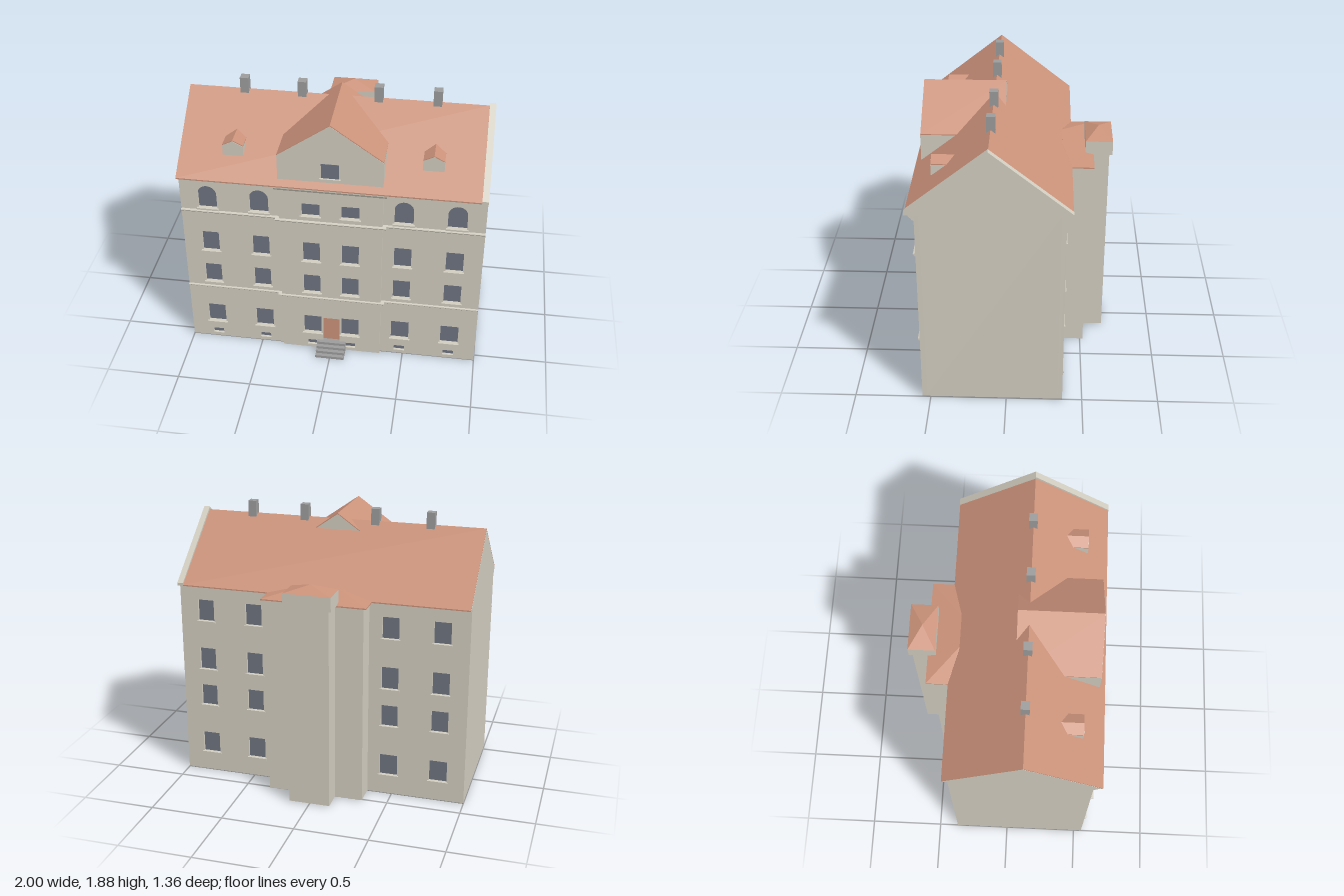
import * as THREE from 'three';
import { ConvexGeometry } from 'three/addons/geometries/ConvexGeometry.js';

const mat = (name, color) => Object.assign(new THREE.MeshStandardMaterial({ color }), { name });

export function createModel() {
  const plaster = mat('plaster', 0xd2cdc0);
  const tile = mat('roof tile', 0xcb927a);
  const glass = mat('window glass', 0x6e7480);
  const stone = mat('grey stone', 0x9c9c9c);

  const model = new THREE.Group();
  model.name = 'townHouse';

  const add = (name, geo, material, parent = model) => {
    const m = new THREE.Mesh(geo, material);
    m.name = name;
    parent.add(m);
    return m;
  };
  // Box given by its limits
  const box = (name, x0, x1, y0, y1, z0, z1, material, parent) =>
    add(name, new THREE.BoxGeometry(x1 - x0, y1 - y0, z1 - z0)
      .translate((x0 + x1) / 2, (y0 + y1) / 2, (z0 + z1) / 2), material, parent);
  const shapeOf = pts => new THREE.Shape(pts.map(p => new THREE.Vector2(...p)));
  const extrude = (shape, depth) =>
    new THREE.ExtrudeGeometry(shape, { depth, bevelEnabled: false, curveSegments: 10 });
  // Profile in (z, y) drawn out along x
  const alongX = (name, pts, x0, x1, material) =>
    add(name, extrude(shapeOf(pts), x1 - x0).rotateY(-Math.PI / 2).translate(x1, 0, 0), material);
  // Profile in (x, y) drawn out along z
  const alongZ = (name, pts, z0, z1, material, parent) =>
    add(name, extrude(shapeOf(pts), z1 - z0).translate(0, 0, z0), material, parent);

  // Outline of a window or door opening, with an optional round head
  const outline = (o, Type) => {
    const s = new Type(), r = o.w / 2, top = o.y + o.h;
    s.moveTo(o.x - r, o.y);
    s.lineTo(o.x + r, o.y);
    if (o.arch) {
      s.lineTo(o.x + r, top - r);
      s.absarc(o.x, top - r, r, 0, Math.PI, false);
    } else {
      s.lineTo(o.x + r, top);
      s.lineTo(o.x - r, top);
    }
    s.lineTo(o.x - r, o.y);
    return s;
  };

  // Wall panel with recessed openings and sills, facing +z
  const wall = (name, x0, x1, zBack, zFace, openings, sillOut) => {
    const g = new THREE.Group();
    g.name = name;
    const s = shapeOf([[x0, 0.005], [x1, 0.005], [x1, 1.39], [x0, 1.39]]);
    openings.forEach(o => s.holes.push(outline(o, THREE.Path)));
    add('wallPanel', extrude(s, zFace - zBack).translate(0, 0, zBack), plaster, g);
    for (const o of openings) {
      add(o.door ? 'door' : 'windowPane',
        extrude(outline(o, THREE.Shape), 0.004).translate(0, 0, zFace - 0.022), o.door ? tile : glass, g);
      if (o.sill) {
        box('windowSill', o.x - o.w / 2 - 0.01, o.x + o.w / 2 + 0.01, o.y - 0.008, o.y + 0.004,
          zFace - 0.02, zFace + sillOut, plaster, g);
      }
    }
    model.add(g);
    return g;
  };

  // Rows of openings: ground, first and second floor
  const floors = x => [
    { x, y: 0.14, w: 0.123, h: 0.155, sill: true },
    { x, y: 0.505, w: 0.115, h: 0.155, sill: true },
    { x, y: 0.775, w: 0.115, h: 0.16, sill: true }];
  const cellar = x => ({ x, y: 0.03, w: 0.075, h: 0.042 });

  // Core of the house and ground plate
  box('core', -1, 1, 0.005, 1.39, -0.34, 0.525, plaster);
  box('groundPlate', -1, 1, 0, 0.005, -0.37, 0.555, stone);

  for (const side of [-1, 1]) {
    // Front wings with arched top windows
    const front = [0.475, 0.818].map(c => c * side).flatMap(x => [
      cellar(x), ...floors(x), { x, y: 1.13, w: 0.125, h: 0.175, arch: true, sill: true }]);
    wall('frontWing', Math.min(side, side * 0.34), Math.max(side, side * 0.34), 0.525, 0.555, front, 0.015);
    // Rear wings with plain windows
    const rear = [0.475, 0.818].map(c => c * side).flatMap(x => [
      ...floors(x), { x, y: 1.13, w: 0.115, h: 0.155, sill: true }]);
    wall('rearWing', Math.min(side, side * 0.33), Math.max(side, side * 0.33), 0.34, 0.37, rear, 0.01)
      .rotation.y = Math.PI;
  }

  // Projecting centre of the front with the door
  const centre = [-0.13, 0.13].flatMap(x => [
    cellar(x), ...floors(x), { x, y: 1.15, w: 0.12, h: 0.1, sill: true }]);
  centre.push({ x: 0, y: 0.08, w: 0.115, h: 0.205, door: true });
  // The door sits between the ground floor windows
  wall('frontCentre', -0.34, 0.34, 0.525, 0.58, centre, 0.015);

  // Cornices, stepping forward over the centre
  const cornice = (name, profile) => {
    for (const [x0, x1, z] of [[-1, -0.34, 0.555], [0.34, 1, 0.555], [-0.365, 0.365, 0.58]]) {
      alongX(name, profile.map(([dz, y]) => [z + dz, y]), x0, x1, plaster);
    }
  };
  cornice('lowerCornice', [[-0.01, 0.455], [0.004, 0.455], [0.012, 0.463], [0.012, 0.47], [-0.01, 0.475]]);
  cornice('middleCornice', [[-0.01, 1.095], [0.004, 1.095], [0.016, 1.107], [0.016, 1.112], [-0.01, 1.118]]);
  cornice('eavesCornice', [[-0.01, 1.345], [0.012, 1.35], [0.018, 1.362], [0.034, 1.376], [0.034, 1.392], [-0.01, 1.392]]);

  // Attic, roof covering and the raised gable on one end
  alongX('attic', [[0.612, 1.385], [0.105, 1.787], [-0.407, 1.385]], -1, 1, plaster);
  alongX('mainRoof', [[0.615, 1.385], [0.615, 1.393], [0.105, 1.797], [-0.41, 1.393], [-0.41, 1.385], [0.105, 1.785]],
    -0.999, 0.96, tile);
  alongX('gableParapet', [[0.617, 1.385], [0.617, 1.405], [0.105, 1.817], [-0.412, 1.405], [-0.412, 1.385]],
    0.96, 1.001, plaster);

  // Gabled roof house: plaster body with thin tiled slopes
  const gabled = (name, x, half, y0, yEave, yTop, z0, z1) => {
    const g = new THREE.Group();
    g.name = name;
    const t = 0.006;
    alongZ('gableWall', [[-half, y0], [half, y0], [half, yEave - t], [0, yTop - t], [-half, yEave - t]], z0, z1, plaster, g);
    alongZ('gableRoof', [[-half, yEave - t], [0, yTop - t], [half, yEave - t], [half, yEave], [0, yTop], [-half, yEave]],
      z0, z1 - 0.001, tile, g);
    g.position.x = x;
    model.add(g);
    return g;
  };
  const frontGable = gabled('frontGable', 0, 0.34, 1.425, 1.61, 1.85, 0.03, 0.577);
  box('gableWindow', -0.058, 0.058, 1.457, 1.565, 0.575, 0.579, glass, frontGable);
  box('gableSill', -0.068, 0.068, 1.449, 1.459, 0.57, 0.592, plaster, frontGable);
  for (const x of [-0.645, 0.643]) gabled('dormer', x, 0.068, 1.508, 1.585, 1.62, 0.3, 0.475);

  // Chimneys along the ridge
  for (const x of [-0.63, -0.25, 0.25, 0.63]) {
    box('chimney', x - 0.028, x + 0.028, 1.72, 1.885, 0.075, 0.131, stone);
  }

  // Rear bay and stair tower
  box('rearBay', -0.33, 0.33, 0.005, 1.39, -0.52, -0.34, plaster);
  box('stairTower', -0.14, 0.14, 0.005, 1.4, -0.66, -0.5, plaster);
  box('towerHead', -0.16, 0.16, 1.39, 1.487, -0.68, -0.5, plaster);
  const hull = (name, pts) => add(name, new ConvexGeometry(pts.map(p => new THREE.Vector3(...p))), tile);
  hull('towerRoof', [[-0.16, 1.487, -0.68], [0.16, 1.487, -0.68], [0.16, 1.487, -0.5], [-0.16, 1.487, -0.5], [0, 1.535, -0.59]]);
  hull('bayRoof', [-1, 1].flatMap(s => [
    [s * 0.355, 1.385, -0.555], [s * 0.355, 1.393, -0.555], [s * 0.355, 1.385, -0.38],
    [s * 0.355, 1.393, -0.41], [s * 0.11, 1.446, -0.345], [s * 0.11, 1.385, -0.345]]));

  // Entrance steps
  for (let i = 0; i < 4; i++) {
    box('entranceStep', -0.1, 0.1, i * 0.02, (i + 1) * 0.02, 0.56, 0.68 - i * 0.025, stone);
  }
  return model;
}
